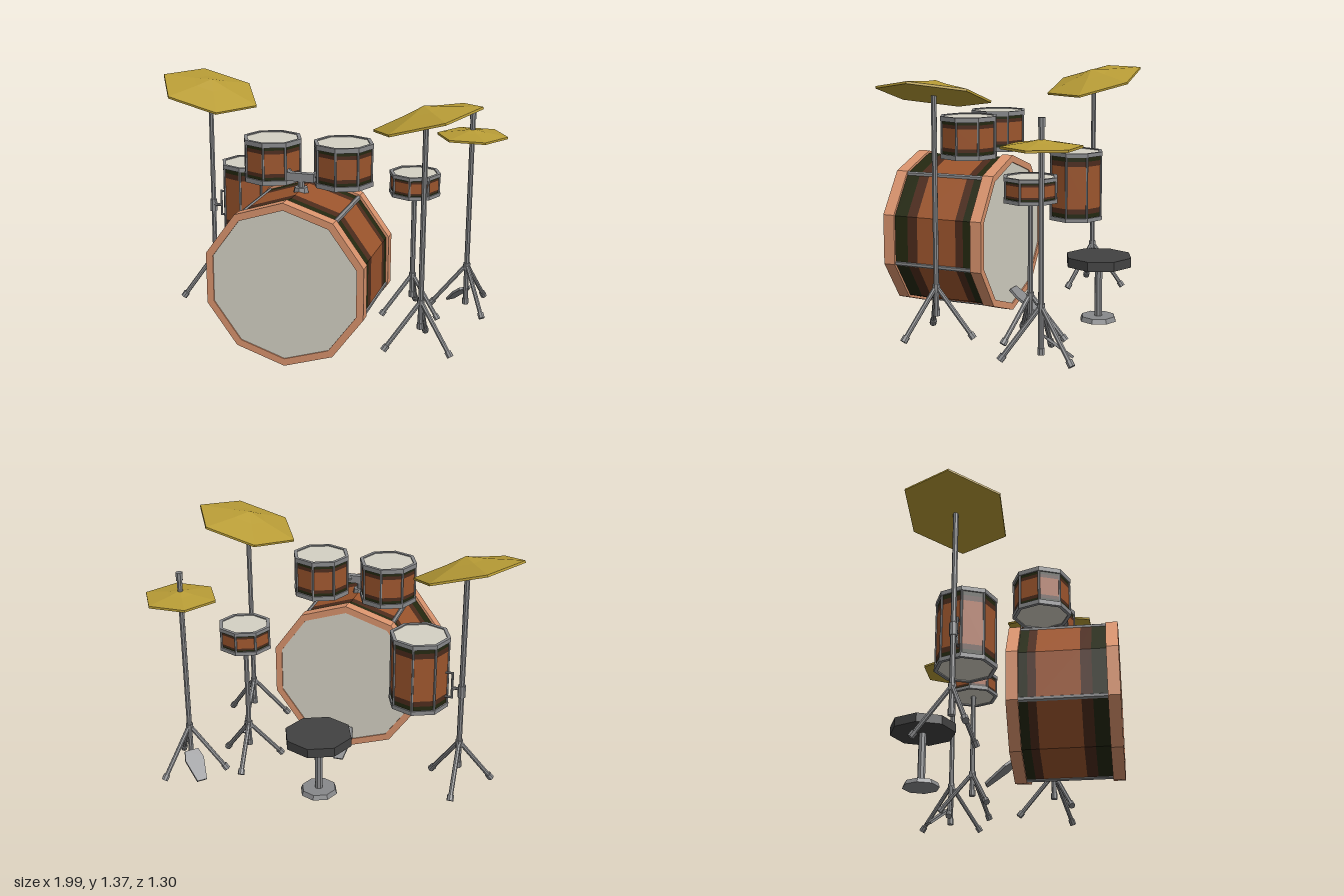
import * as THREE from 'three';

const mat = (name, color) => new THREE.MeshStandardMaterial({ name, color });
const V = (x, y, z) => new THREE.Vector3(x, y, z);

export function createModel() {
  const wood = mat('wood', 0x9c552d);
  const darkWood = mat('dark wood', 0x4c2b1c);
  const darkGreen = mat('dark green', 0x242810);
  const copper = mat('copper hoop', 0xd9936d);
  const skin = mat('drum skin', 0xd4d1c4);
  const chrome = mat('chrome', 0x88898b);
  const brass = mat('brass', 0xb89c36);
  const seatBlack = mat('seat black', 0x424242);

  const root = new THREE.Group();
  root.name = 'drumKit';

  const group = (name, x = 0, y = 0, z = 0, parent = root) => {
    const g = new THREE.Group();
    g.name = name;
    g.position.set(x, y, z);
    parent.add(g);
    return g;
  };
  // Adds a faceted mesh
  const add = (parent, name, geo, material, x = 0, y = 0, z = 0) => {
    const flat = geo.index ? geo.toNonIndexed() : geo;
    flat.computeVertexNormals();
    const m = new THREE.Mesh(flat, material);
    m.name = name;
    m.position.set(x, y, z);
    parent.add(m);
    return m;
  };
  const lathe = (pts, n) => new THREE.LatheGeometry(pts.map(p => new THREE.Vector2(...p)), n);
  // Round bar between two points
  const bar = (parent, name, a, b, r, material = chrome, n = 8) => {
    const d = b.clone().sub(a);
    const m = add(parent, name, new THREE.CylinderGeometry(r, r, d.length(), n), material);
    m.position.copy(a).addScaledVector(d, 0.5);
    m.quaternion.setFromUnitVectors(V(0, 1, 0), d.normalize());
    return m;
  };
  // Hollow square-section ring from y0 to y1
  const ring = (r0, r1, y0, y1, n) => lathe([[r0, y0], [r1, y0], [r1, y1], [r0, y1], [r0, y0]], n);
  // Shell made of coloured bands; edges are the seven-line positions
  const bands = (parent, r, edges, n) => {
    [darkGreen, darkWood, wood, darkWood, darkGreen].forEach((m, i) =>
      add(parent, 'shellBand', lathe([[r, edges[i]], [r, edges[i + 1]]], n), m));
  };

  // Small drums: banded octagonal shell, two rims, two skins, eight rods
  const drum = (name, x, z, y0, y1, R, rim) => {
    const g = group(name, x, y0, z);
    const h = y1 - y0, r = R - 0.009, s = h - 2 * rim;
    const k = Math.min(0.055, s * 0.2);
    bands(g, r, [rim, rim + k * 0.45, rim + k, h - rim - k, h - rim - k * 0.45, h - rim], 8);
    for (const y of [0, h - rim]) add(g, 'rim', ring(R - 0.02, R, y, y + rim, 8), chrome);
    for (const y of [0.01, h - 0.01])
      add(g, 'skin', new THREE.CylinderGeometry(R - 0.019, R - 0.019, 0.008, 8), skin, 0, y, 0);
    for (let i = 0; i < 8; i++) {
      const a = i * Math.PI / 4, px = Math.sin(a) * r, pz = Math.cos(a) * r;
      bar(g, 'tensionRod', V(px, rim / 2, pz), V(px, h - rim / 2, pz), 0.007, chrome, 6);
    }
    return g;
  };
  drum('rightTom', -0.185, 0.235, 0.903, 1.135, 0.165, 0.026);
  drum('leftTom', 0.213, 0.235, 0.903, 1.135, 0.165, 0.026);
  drum('floorTom', -0.465, -0.145, 0.47, 0.88, 0.168, 0.024);
  drum('snare', 0.5, -0.253, 0.735, 0.867, 0.149, 0.02);

  // Bass drum lying along z
  const bass = group('bassDrum', 0.013, 0.45, 0);
  bass.rotation.x = Math.PI / 2;
  bands(bass, 0.436, [0.12, 0.172, 0.217, 0.45, 0.51, 0.59], 10);
  for (const [a, b] of [[0.058, 0.123], [0.587, 0.653]])
    add(bass, 'hoop', ring(0.41, 0.45, a, b, 10), copper);
  for (const y of [0.07, 0.641])
    add(bass, 'bassSkin', new THREE.CylinderGeometry(0.412, 0.412, 0.01, 10), skin, 0, y, 0);
  for (let i = 0; i < 5; i++) {
    const a = i * Math.PI * 0.4, px = Math.sin(a) * 0.43, pz = Math.cos(a) * 0.43;
    bar(bass, 'bassRod', V(px, 0.12, pz), V(px, 0.59, pz), 0.014, chrome, 6);
  }

  // Tom holder on top of the bass drum
  const holder = group('tomHolder', 0.013, 0, 0.35);
  add(holder, 'holderBase', new THREE.CylinderGeometry(0.036, 0.042, 0.03, 8), chrome, 0, 0.888, 0);
  bar(holder, 'holderPost', V(0, 0.88, 0), V(0, 0.96, 0), 0.018);
  add(holder, 'holderClamp', new THREE.BoxGeometry(0.15, 0.045, 0.035), chrome, 0, 0.957, 0);
  for (const s of [-1, 1])
    bar(holder, 'holderArm', V(0.05 * s, 0.957, 0), V(0.1 * s, 0.985, -0.05), 0.016);

  // Pole on three splayed legs; angles run from +x towards +z
  const stand = (name, x, z, top, hub, low, reach, turn) => {
    const g = group(name, x, 0, z);
    bar(g, 'pole', V(0, low, 0), V(0, top, 0), 0.015);
    bar(g, 'poleEnd', V(0, low - 0.005, 0), V(0, low + 0.03, 0), 0.019);
    bar(g, 'hub', V(0, hub - 0.03, 0), V(0, hub + 0.01, 0), 0.021);
    for (let i = 0; i < 3; i++) {
      const a = (turn + i * 120) * Math.PI / 180;
      const foot = V(Math.cos(a) * reach, 0.012, Math.sin(a) * reach);
      const start = V(0, hub, 0);
      bar(g, 'leg', start, foot, 0.013);
      bar(g, 'foot', start.clone().lerp(foot, 0.9), foot, 0.019);
    }
    return g;
  };
  // Six-sided cymbal with a raised bell and flat underside
  const cymbal = (name, x, y, z, R, h, normal) => {
    const g = group(name, x, y, z);
    add(g, 'plate', lathe([[0, -0.006], [R, -0.006], [R, 0.006], [R * 0.36, h * 0.62], [0, h]], 6), brass)
      .rotation.y = Math.PI / 6 * 3;
    g.quaternion.setFromUnitVectors(V(0, 1, 0), normal.normalize());
    return g;
  };

  stand('rightCrashStand', -0.708, -0.17, 1.285, 0.275, 0.12, 0.2, -90);
  cymbal('rightCrash', -0.712, 1.28, -0.17, 0.296, 0.075, V(0.26, 0.955, 0.15));
  stand('leftCrashStand', 0.65, 0.22, 1.29, 0.275, 0.12, 0.212, -93);
  cymbal('leftCrash', 0.655, 1.28, 0.217, 0.296, 0.075, V(-0.265, 0.964, 0));
  stand('snareStand', 0.5, -0.253, 0.74, 0.245, 0.11, 0.192, 25);
  const hat = stand('hiHatStand', 0.79, -0.43, 1.2, 0.275, 0.03, 0.21, 53);
  bar(hat, 'hiHatClutch', V(0, 1.155, 0), V(0, 1.2, 0), 0.019);
  cymbal('hiHat', 0.79, 1.057, -0.43, 0.203, 0.04, V(0, 1, 0));

  // Bracket tying the floor tom to the stand
  const bracket = group('floorTomBracket', -0.708, 0, -0.16);
  bar(bracket, 'bracketClamp', V(0, 0.55, -0.01), V(0, 0.62, -0.01), 0.022);
  bar(bracket, 'bracketArm', V(0, 0.592, 0), V(0.06, 0.592, 0), 0.009);
  bar(bracket, 'bracketBar', V(0.055, 0.53, 0), V(0.055, 0.685, 0), 0.007);
  for (const y of [0.535, 0.68])
    bar(bracket, 'bracketTab', V(0.055, y, 0), V(0.095, y, 0), 0.007);

  // Tapered foot plate sloping down from its wide end
  const pedal = (name, x, z, length, turn) => {
    const g = group(name, x, 0, z);
    g.rotation.y = turn;
    const s = new THREE.Shape();
    [[-0.028, 0], [-0.055, length * 0.7], [-0.04, length], [0.04, length], [0.055, length * 0.7], [0.028, 0]]
      .reverse().forEach(([px, py], i) => (i ? s.lineTo(px, py) : s.moveTo(px, py)));
    const plate = add(g, 'footPlate',
      new THREE.ExtrudeGeometry(s, { depth: 0.014, bevelEnabled: false }), chrome, 0, 0.006, 0);
    plate.rotation.x = Math.PI / 2 - 0.68;
  };
  pedal('bassPedal', 0.013, -0.105, 0.205, 0);
  pedal('hiHatPedal', 0.675, -0.55, 0.19, Math.PI / 4);

  // Stool
  const stool = group('stool', 0.013, 0, -0.46);
  add(stool, 'seat', new THREE.CylinderGeometry(0.187, 0.187, 0.052, 8), seatBlack, 0, 0.342, 0);
  bar(stool, 'stoolPost', V(0, 0.02, 0), V(0, 0.32, 0), 0.022);
  add(stool, 'stoolBase', new THREE.CylinderGeometry(0.095, 0.105, 0.026, 8), chrome, 0, 0.013, 0);

  return root;
}
